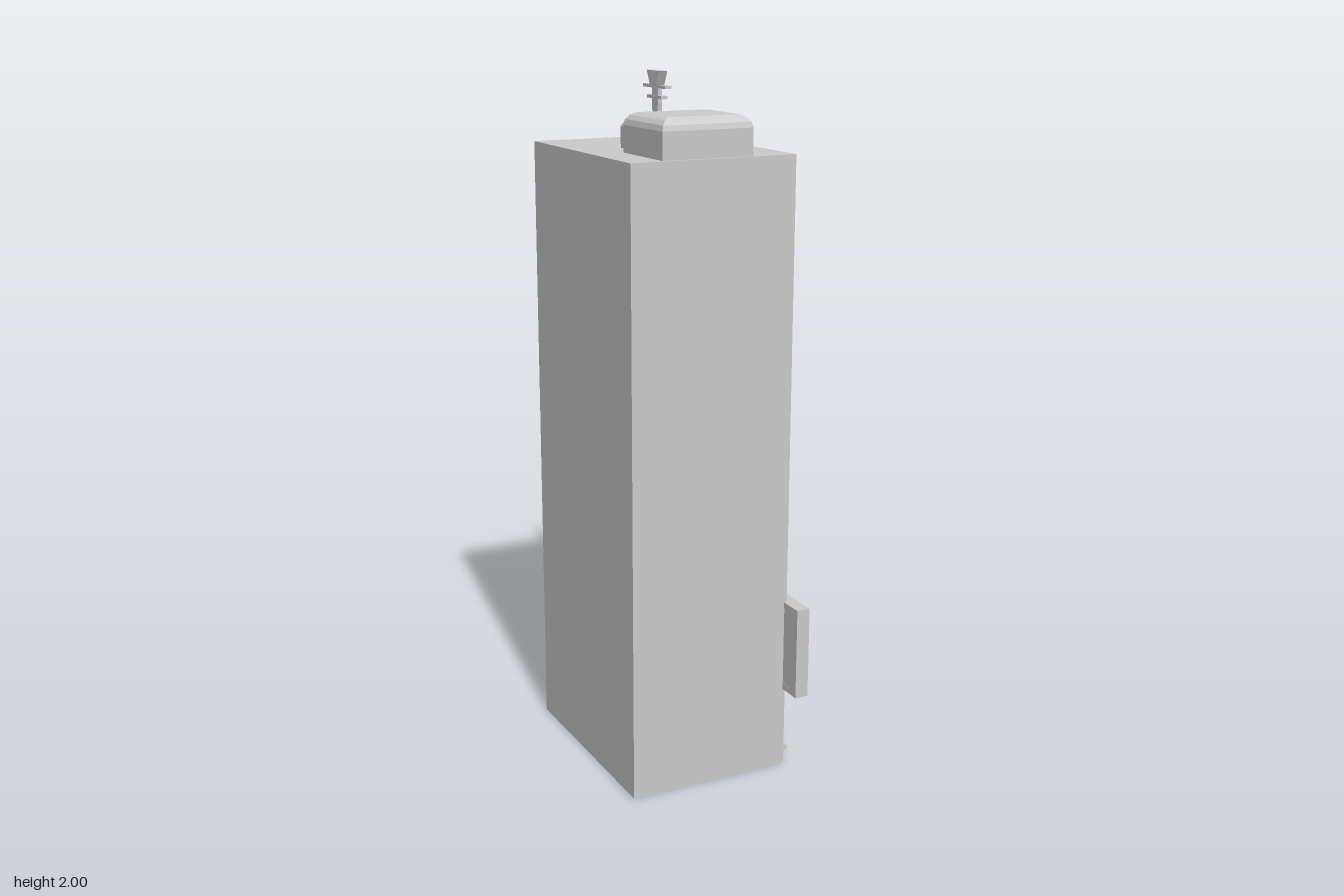
import * as THREE from 'three';

const mat = new THREE.MeshStandardMaterial({ color: 0xcccccc, flatShading: true, side: THREE.DoubleSide });

// Main dimensions
const X0 = -0.265, X1 = 0.23, Z0 = -0.32, Z1 = 0.328, ROOF = 1.805;
const INNER = X1 - 0.06; // plane at the back of the window recesses
const T = 0.01; // wall thickness

function add(parent, name, geometry) {
  const mesh = new THREE.Mesh(geometry, mat);
  mesh.name = name;
  parent.add(mesh);
  return mesh;
}

// Box given by its minimum and maximum on each axis
function box(parent, name, x0, x1, y0, y1, z0, z1) {
  const g = new THREE.BoxGeometry(x1 - x0, y1 - y0, z1 - z0);
  g.translate((x0 + x1) / 2, (y0 + y1) / 2, (z0 + z1) / 2);
  return add(parent, name, g);
}

// Outline and holes as [z, y] points, extruded along x from x0 to x1
function slab(parent, name, x0, x1, outline, holes = []) {
  const toPoints = (list) => list.map(([z, y]) => new THREE.Vector2(-z, y));
  const shape = new THREE.Shape(toPoints(outline));
  for (const h of holes) shape.holes.push(new THREE.Path(toPoints(h)));
  const g = new THREE.ExtrudeGeometry(shape, { depth: x1 - x0, bevelEnabled: false });
  g.rotateY(Math.PI / 2).translate(x0, 0, 0);
  return add(parent, name, g);
}

const rect = (z0, z1, y0, y1) => [[z0, y0], [z1, y0], [z1, y1], [z0, y1]];

// Block whose top edges are rounded: stacked rectangles [y, inset]
function roundedBlock(parent, name, x0, x1, z0, z1, levels) {
  const pos = [], idx = [];
  for (const [y, i] of levels) {
    pos.push(x0 + i, y, z1 - i, x1 - i, y, z1 - i, x1 - i, y, z0 + i, x0 + i, y, z0 + i);
  }
  for (let l = 0; l < levels.length - 1; l++) {
    for (let k = 0; k < 4; k++) {
      const a = l * 4 + k, b = l * 4 + (k + 1) % 4;
      idx.push(a, b, b + 4, a, b + 4, a + 4);
    }
  }
  const t = (levels.length - 1) * 4;
  idx.push(t, t + 1, t + 2, t, t + 2, t + 3);
  const g = new THREE.BufferGeometry();
  g.setAttribute('position', new THREE.Float32BufferAttribute(pos, 3));
  g.setIndex(idx);
  g.computeVertexNormals();
  return add(parent, name, g);
}

export function createModel() {
  const model = new THREE.Group();
  model.name = 'towerBuilding';

  // Hollow body behind the facade, with a gap in the floor at the doorway
  const body = new THREE.Group();
  body.name = 'body';
  model.add(body);
  const doorBack = -0.23, doorFront = -0.08;
  box(body, 'sideWall', X0, X0 + T, 0, ROOF, Z0, Z1);
  box(body, 'recessWall', INNER - T, INNER, 0, ROOF - T, Z0 + T, Z1 - T);
  box(body, 'backWall', X0 + T, INNER, 0, ROOF, Z0, Z0 + T);
  box(body, 'frontWall', X0 + T, INNER, 0, ROOF, Z1 - T, Z1);
  box(body, 'roof', X0 + T, INNER, ROOF - T, ROOF, Z0 + T, Z1 - T);
  box(body, 'floorBack', X0 + T, INNER - T, 0, T, Z0 + T, doorBack);
  box(body, 'floorFront', X0 + T, INNER - T, 0, T, doorFront, Z1 - T);

  // Facade with slanted windows, shop window and a doorway open to the ground
  const holes = [rect(-0.05, 0.313, 0.028, 0.215)];
  for (let i = 0; i < 4; i++) {
    const y = 0.665 + i * 0.2825;
    holes.push([[-0.255, y], [0.303, y], [0.268, y + 0.118], [-0.29, y + 0.118]]);
  }
  slab(model, 'facade', INNER, X1, [
    [Z0, 0], [doorBack, 0], [doorBack, 0.17], [doorFront, 0.17],
    [doorFront, 0], [Z1, 0], [Z1, ROOF], [Z0, ROOF],
  ], holes);
  box(model, 'shopSill', INNER, 0.25, 0.03, 0.045, -0.05, 0.313);

  // Sign board with a raised rim
  slab(model, 'signFrame', 0.222, 0.263, rect(-0.402, 0.402, 0.24, 0.513),
    [rect(-0.367, 0.37, 0.26, 0.495)]);
  box(model, 'signPanel', 0.223, 0.24, 0.26, 0.495, -0.367, 0.37);

  // Roof housings
  roundedBlock(model, 'roofHousing', -0.168, 0.102, 0.08, 0.318,
    [[ROOF, 0], [1.88, 0], [1.895, 0.004], [1.907, 0.014], [1.914, 0.028]]);
  roundedBlock(model, 'smallRoofHousing', -0.121, 0.025, -0.036, 0.09,
    [[ROOF, 0], [1.865, 0], [1.873, 0.004], [1.878, 0.012]]);

  // Antenna: tapering mast, flared head and two cross bars
  const antenna = new THREE.Group();
  antenna.name = 'antenna';
  model.add(antenna);
  const cz = -0.261;
  slab(antenna, 'antennaMast', 0.097, 0.111, [
    [cz - 0.01, ROOF - 0.005], [cz + 0.01, ROOF - 0.005],
    [cz + 0.02, 1.91], [cz + 0.02, 1.96], [cz - 0.02, 1.96], [cz - 0.02, 1.91],
  ]);
  slab(antenna, 'antennaHead', 0.09, 0.118, [
    [cz - 0.016, 1.95], [cz + 0.016, 1.95], [cz + 0.04, 2], [cz - 0.04, 2],
  ]);
  box(antenna, 'upperBar', 0.094, 0.114, 1.95, 1.959, cz - 0.074, cz + 0.074);
  box(antenna, 'lowerBar', 0.094, 0.114, 1.919, 1.928, cz - 0.048, cz + 0.048);

  return model;
}
